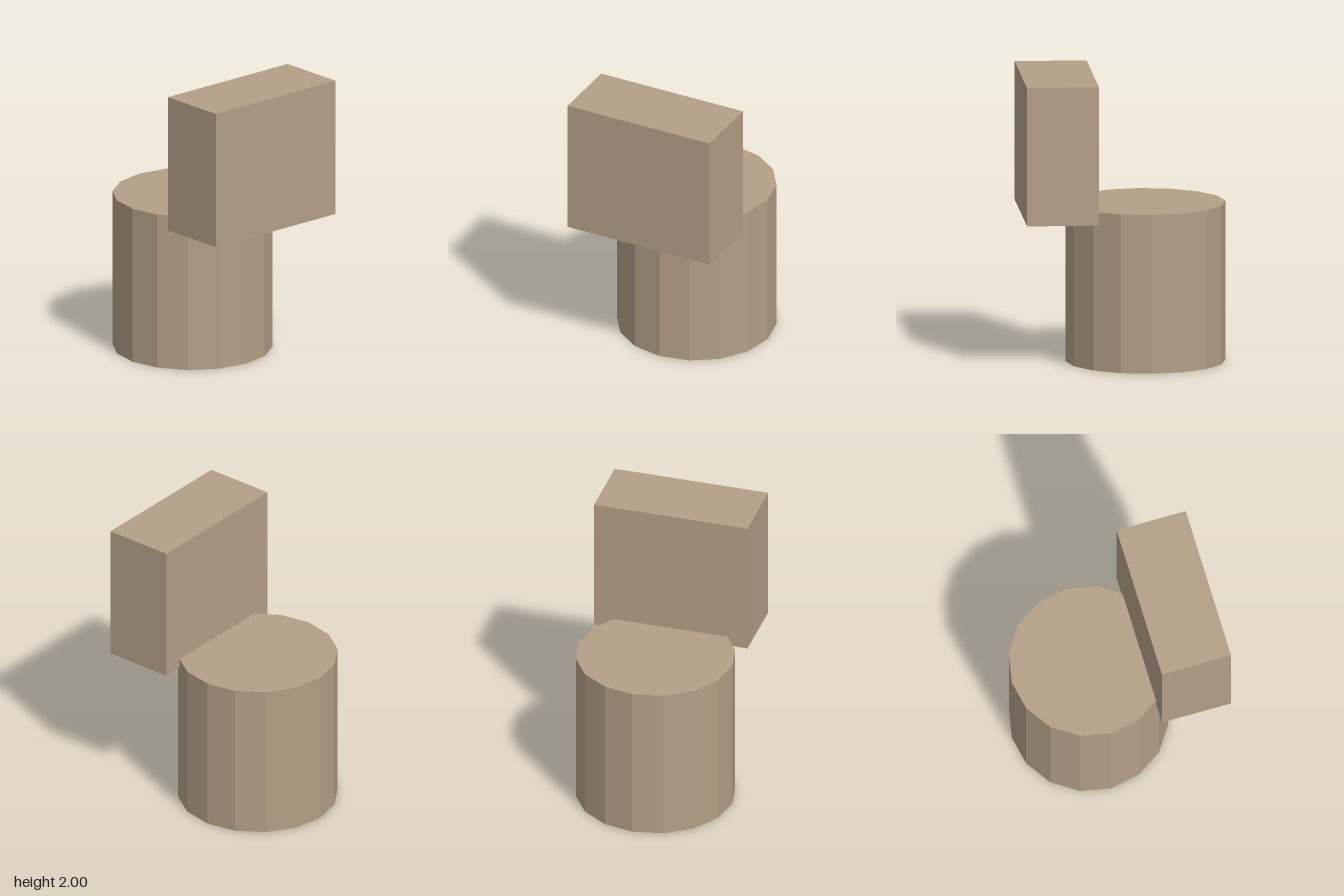
import * as THREE from 'three';

export function createModel() {
  const model = new THREE.Group();
  const tan = new THREE.MeshStandardMaterial({ color: 0xb39f86, flatShading: true });
  tan.name = 'tan';

  const add = (name, geometry, x, y, z) => {
    const mesh = new THREE.Mesh(geometry, tan);
    mesh.name = name;
    mesh.position.set(x, y, z);
    model.add(mesh);
  };

  // Sixteen-sided drum standing on the ground, towards the back
  const drumHeight = 1.105;
  add('drum', new THREE.CylinderGeometry(0.55, 0.55, drumHeight, 16), 0, drumHeight / 2, -0.154);

  // Upright block overlapping the front of the drum's top
  const blockBottom = 1.037, blockTop = 2;
  add('block', new THREE.BoxGeometry(1.1, blockTop - blockBottom, 0.495),
    0, (blockBottom + blockTop) / 2, 0.4565);

  return model;
}
